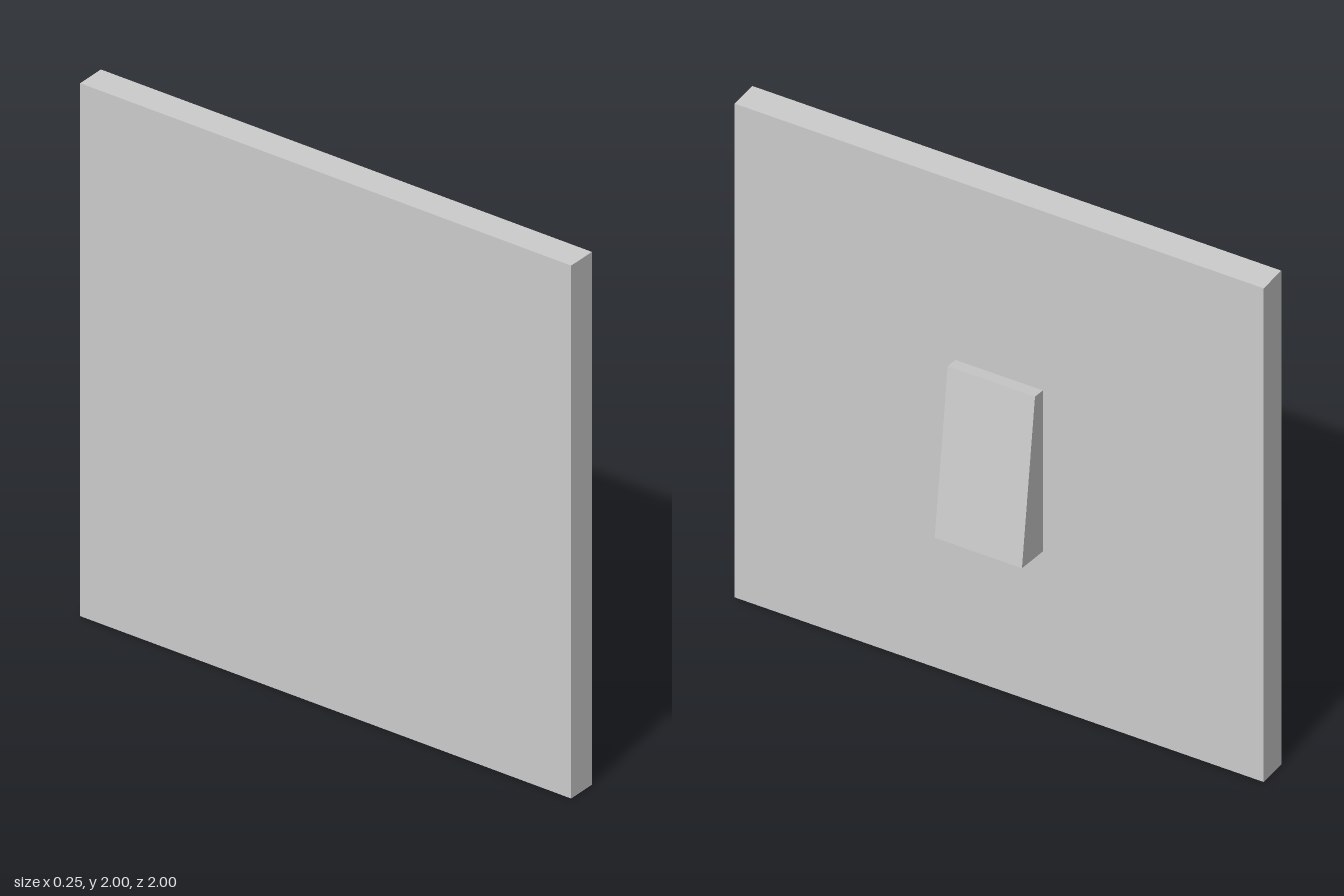
import * as THREE from 'three';

export function createModel() {
  const model = new THREE.Group();
  model.name = 'wallSwitch';
  const material = new THREE.MeshStandardMaterial({ color: 0xcccccc, flatShading: true });

  const addBox = (name, size, position) => {
    const mesh = new THREE.Mesh(new THREE.BoxGeometry(...size), material);
    mesh.name = name;
    mesh.position.set(...position);
    model.add(mesh);
    return mesh;
  };

  // Square wall plate, thin along x
  addBox('wallPlate', [0.113, 2, 2], [-0.0685, 1, 0]);

  // Tilted rocker set into the plate, its lower end standing proud
  const rocker = addBox('rocker', [0.142, 0.647, 0.33], [0.01, 0.951, 0]);
  rocker.rotation.z = 0.13;

  return model;
}
